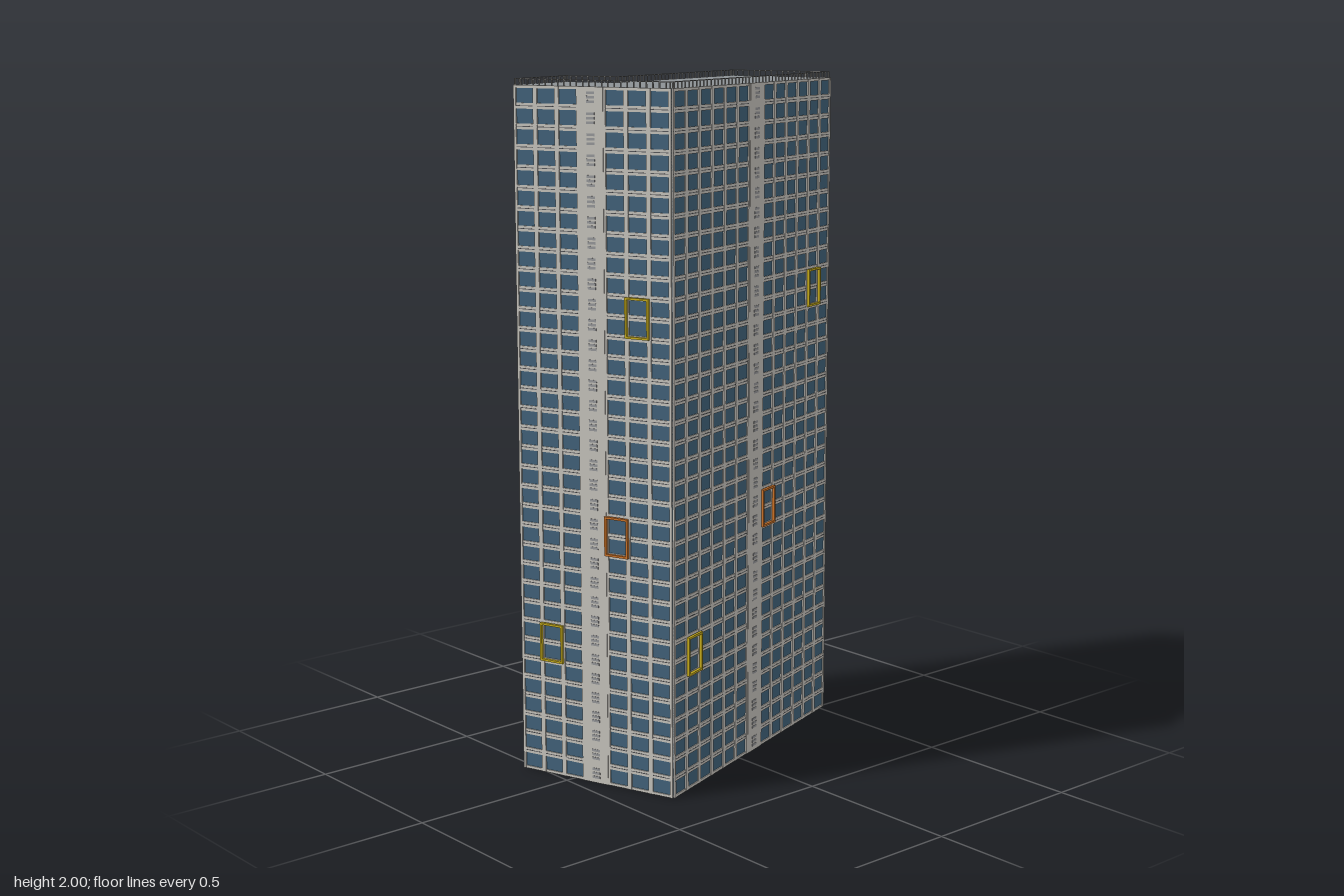
import * as THREE from 'three';
import { mergeGeometries } from 'three/addons/utils/BufferGeometryUtils.js';

const H = 1.981, FLOORS = 35, F = H / FLOORS;
const STRIP = 0.08; // width of the solid strip in the middle of each glazed side

const mat = (name, color) => {
  const m = new THREE.MeshStandardMaterial({ color });
  m.name = name;
  return m;
};

export function createModel() {
  const M = {
    wall: mat('pale wall', 0xd2d2cd),
    concrete: mat('facade concrete', 0xc6c3bc),
    glass: mat('blue glass', 0x41627a),
    base: mat('base grey', 0x8b8e90),
    roof: mat('roof grey', 0x8c9194),
    joint: mat('dark joint', 0x55565a),
    vent: mat('vent grey', 0x96979a),
    rail: mat('railing grey', 0x9a9a98),
    yellow: mat('yellow trim', 0xc8ae1c),
    orange: mat('orange trim', 0xcf7428),
  };

  // box given by its centre x, bottom y, back z and size
  const box = (x, y, z, w, h, d) =>
    new THREE.BoxGeometry(w, h, d).translate(x, y + h / 2, z + d / 2);
  const add = (parent, name, geos, material) => {
    const mesh = new THREE.Mesh(mergeGeometries(geos), material);
    mesh.name = name;
    parent.add(mesh);
  };

  // railing along one roof edge
  function railing(g, len) {
    const n = Math.round(len / 0.02), parts = [box(len / 2, 1.9965, -0.006, len, 0.0025, 0.003)];
    for (let i = 0; i <= n; i++) parts.push(box((i / n) * len, H, -0.006, 0.003, 0.018, 0.003));
    add(g, 'roofRailing', parts, M.rail);
  }

  // projecting rectangular frame two floors high
  function balconyFrame(g, x, floor, material) {
    const w = 0.038, h = F, t = 0.006;
    const s = new THREE.Shape([[-w, -h], [w, -h], [w, h], [-w, h]].map(p => new THREE.Vector2(...p)));
    s.holes.push(new THREE.Path(
      [[-w + t, -h + t], [-w + t, h - t], [w - t, h - t], [w - t, -h + t]].map(p => new THREE.Vector2(...p))));
    const geo = new THREE.ExtrudeGeometry(s, { depth: 0.012, bevelEnabled: false });
    geo.translate(x, (floor + 1) * F, 0.001);
    add(g, 'balconyFrame', [geo], material);
  }

  // glazed side: glass sheet, floor bands, columns and a central strip
  function glazedSide(g, len, half) {
    const pitch = (len - STRIP) / 2 / half, right = (len + STRIP) / 2;
    add(g, 'windowGlass', [box(len / 2, 0, 0, len, H, 0.001)], M.glass);

    const bands = [], joints = [], slits = [];
    for (let i = 0; i <= FLOORS; i++) {
      const lo = Math.max(0, i * F - 0.008), hi = Math.min(H, i * F + 0.008);
      bands.push(box(len / 2, lo, 0, len, hi - lo, 0.004));
      if (i < 1 || i >= FLOORS) continue;
      joints.push(box(len / 2, i * F - 0.001, 0.004, len, 0.002, 0.0005));
    }
    for (let i = 0; i < FLOORS; i++)
      for (let k = 0; k < 3; k++)
        slits.push(box(len / 2, i * F + 0.013 + k * 0.012, 0.006, 0.026, 0.007, 0.001));
    add(g, 'floorBands', bands, M.concrete);
    add(g, 'bandJoints', joints, M.joint);
    add(g, 'stripVents', slits, M.vent);

    const columns = [box(len / 2, 0, 0, STRIP, H, 0.006)];
    for (let i = 0; i <= half; i++) {
      const edge = i === 0 ? 0.004 : 0;
      columns.push(box(i * pitch + edge, 0, 0, edge ? 0.008 : 0.014, H, 0.005));
      columns.push(box(len - i * pitch - edge, 0, 0, edge ? 0.008 : 0.014, H, 0.005));
    }
    add(g, 'columns', columns, M.concrete);

    balconyFrame(g, pitch * 1.5, 6, M.yellow);
    balconyFrame(g, right + pitch * 0.5, 12, M.orange);
    balconyFrame(g, right + pitch * (half - 1.5), 23, M.yellow);
  }

  // solid side: base band, panel joints, drainpipe and rust streaks
  function solidSide(g, len, entrance) {
    add(g, 'baseBand', [box(len / 2, 0, 0, len, 2 * F, 0.002)], M.base);
    const joints = [];
    for (let i = 3; i < FLOORS; i++) joints.push(box(len / 2, i * F, 0, len, 0.0016, 0.001));
    add(g, 'panelJoints', joints, M.joint);
    add(g, 'drainpipe', [box(len * 0.745, 2 * F, 0, 0.004, H - 2 * F, 0.002)], M.joint);

    const streaks = [[0.3, 0.54], [0.3, 1.33], [0.44, 1.05], [0.65, 0.71], [0.65, 1.5]].flatMap(([u, y]) => [
      box(u * len, y - 0.02, 0, 0.005, 0.04, 0.0015),
      box(u * len - 0.003, y + 0.014, 0, 0.009, 0.005, 0.0015),
    ]);
    add(g, 'rustStreaks', streaks, M.orange);

    if (!entrance) return;
    add(g, 'entranceGlass', [box(0.166, 0.004, 0, 0.18, 0.091, 0.004)], M.glass);
    const frame = [-0.09, 0, 0.09].map(x => box(0.166 + x, 0, 0, 0.004, 0.097, 0.006));
    frame.push(box(0.166, 0.094, 0, 0.184, 0.004, 0.006));
    add(g, 'entranceFrame', frame, M.joint);
    const grille = [-1, 0, 1].map(k => box(len * 0.49 + k * 0.013, 1.34, 0, 0.007, 0.018, 0.001));
    add(g, 'wallGrille', grille, M.vent);
  }

  const model = new THREE.Group();
  model.name = 'apartmentTower';
  const tower = new THREE.Group();
  tower.name = 'tower';
  tower.rotation.y = 0.3316;
  model.add(tower);

  // L-shaped corners as x, z, running round the plan from the front left
  const plan = [[-0.441, 0.175], [0.492, 0.175], [0.492, -0.159], [-0.18, -0.159], [-0.18, -0.331], [-0.441, -0.331]];
  const shape = new THREE.Shape(plan.map(([x, z]) => new THREE.Vector2(x, -z)));
  const bodyGeo = new THREE.ExtrudeGeometry(shape, { depth: H, bevelEnabled: false }).rotateX(-Math.PI / 2);
  const body = new THREE.Mesh(bodyGeo, [M.roof, M.wall]);
  body.name = 'body';
  tower.add(body);

  // number of window bays each side of the strip, 0 for a solid wall
  const sides = [['frontSide', 6], ['entranceEnd', 0], ['backSide', 4], ['wingInnerSide', 0], ['wingBack', 0], ['wingOuterSide', 3]];
  sides.forEach(([name, half], i) => {
    const [ax, az] = plan[i], [bx, bz] = plan[(i + 1) % plan.length];
    const len = Math.hypot(bx - ax, bz - az);
    const g = new THREE.Group();
    g.name = name;
    g.position.set(ax, 0, az);
    g.rotation.y = Math.atan2(az - bz, bx - ax);
    if (half) glazedSide(g, len, half);
    else solidSide(g, len, name === 'entranceEnd');
    railing(g, len);
    tower.add(g);
  });
  return model;
}
